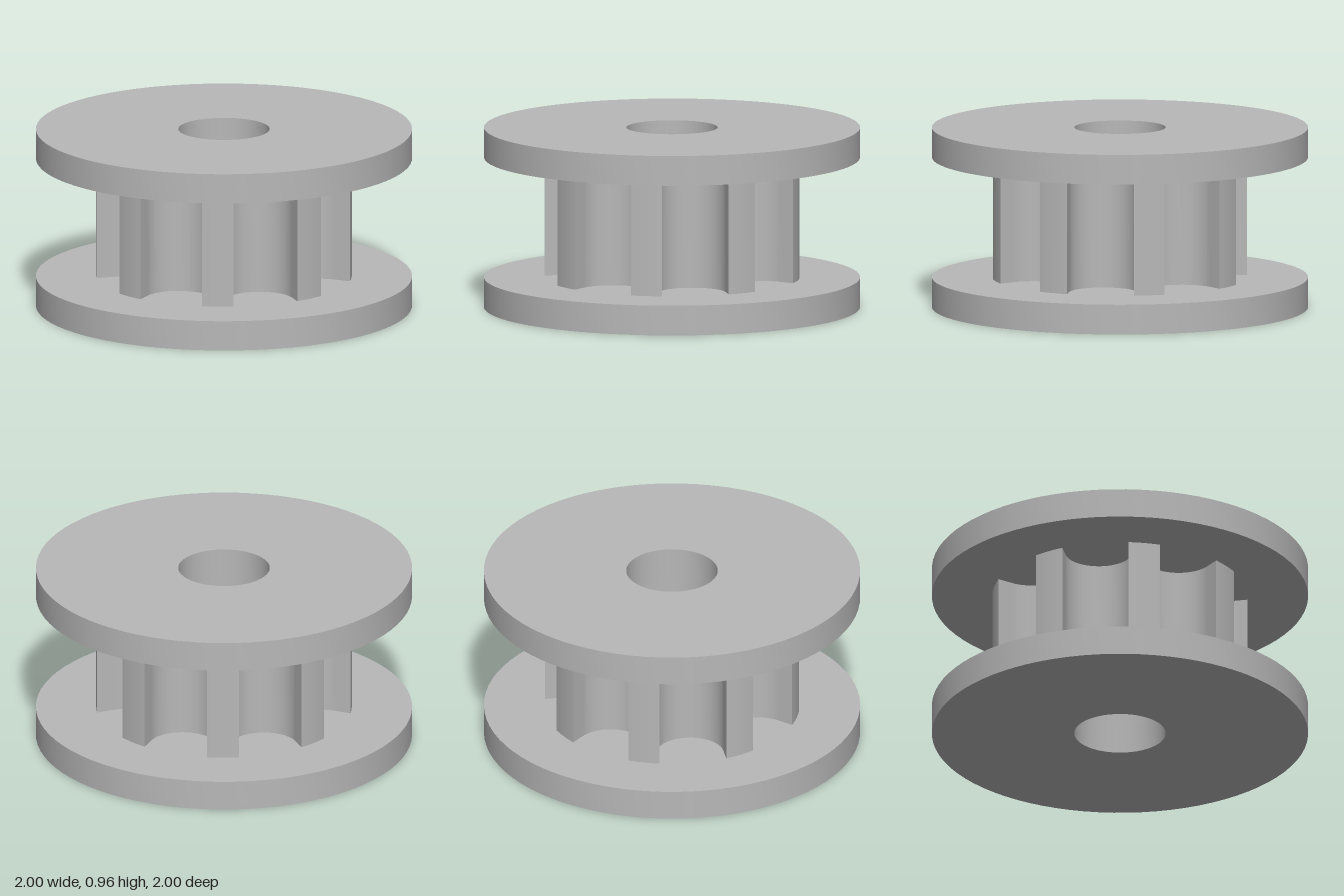
import * as THREE from 'three';
import { toCreasedNormals } from 'three/addons/utils/BufferGeometryUtils.js';

const BORE = 0.243;
const FLANGE_RADIUS = 1;
const FLANGE_HEIGHT = 0.16;
const HEIGHT = 0.965;
const GROOVES = 8;
const GROOVE_RADIUS = 0.18;  // half width of each U-shaped groove
const GROOVE_CENTRE = 0.565; // distance of the groove's round bottom from the axis
const CORE_RADIUS = 0.679;

// Extrude a shape upwards from y = 0, with the shaft bore cut through it
function boredExtrusion(shape, height) {
  const bore = new THREE.Path();
  bore.absarc(0, 0, BORE, 0, Math.PI * 2, true);
  shape.holes.push(bore);
  const geometry = new THREE.ExtrudeGeometry(shape, {
    depth: height, bevelEnabled: false, curveSegments: 40,
  });
  geometry.rotateX(-Math.PI / 2);
  return toCreasedNormals(geometry, 0.45);
}

function flangeShape() {
  const shape = new THREE.Shape();
  shape.absarc(0, 0, FLANGE_RADIUS, 0, Math.PI * 2, false);
  return shape;
}

// Round core with evenly spaced U-shaped grooves
function coreShape() {
  const shape = new THREE.Shape();
  const step = (Math.PI * 2) / GROOVES;
  const half = Math.asin(GROOVE_RADIUS / CORE_RADIUS);
  for (let i = 0; i < GROOVES; i++) {
    const a = i * step;
    // groove: straight wall, round bottom, straight wall
    shape.absarc(
      GROOVE_CENTRE * Math.cos(a), GROOVE_CENTRE * Math.sin(a), GROOVE_RADIUS,
      a - Math.PI / 2, a - Math.PI * 1.5, true,
    );
    // land between this groove and the next
    shape.absarc(0, 0, CORE_RADIUS, a + half, a + step - half, false);
  }
  shape.closePath();
  return shape;
}

export function createModel() {
  const group = new THREE.Group();
  group.name = 'groovedSpool';
  const grey = new THREE.MeshStandardMaterial({ color: 0xb8b8b8 });
  grey.name = 'grey';

  const add = (name, geometry, y) => {
    const mesh = new THREE.Mesh(geometry, grey);
    mesh.name = name;
    mesh.position.y = y;
    group.add(mesh);
  };

  const flange = boredExtrusion(flangeShape(), FLANGE_HEIGHT);
  add('bottomFlange', flange, 0);
  add('groovedCore', boredExtrusion(coreShape(), HEIGHT - 2 * FLANGE_HEIGHT), FLANGE_HEIGHT);
  add('topFlange', flange, HEIGHT - FLANGE_HEIGHT);
  return group;
}
